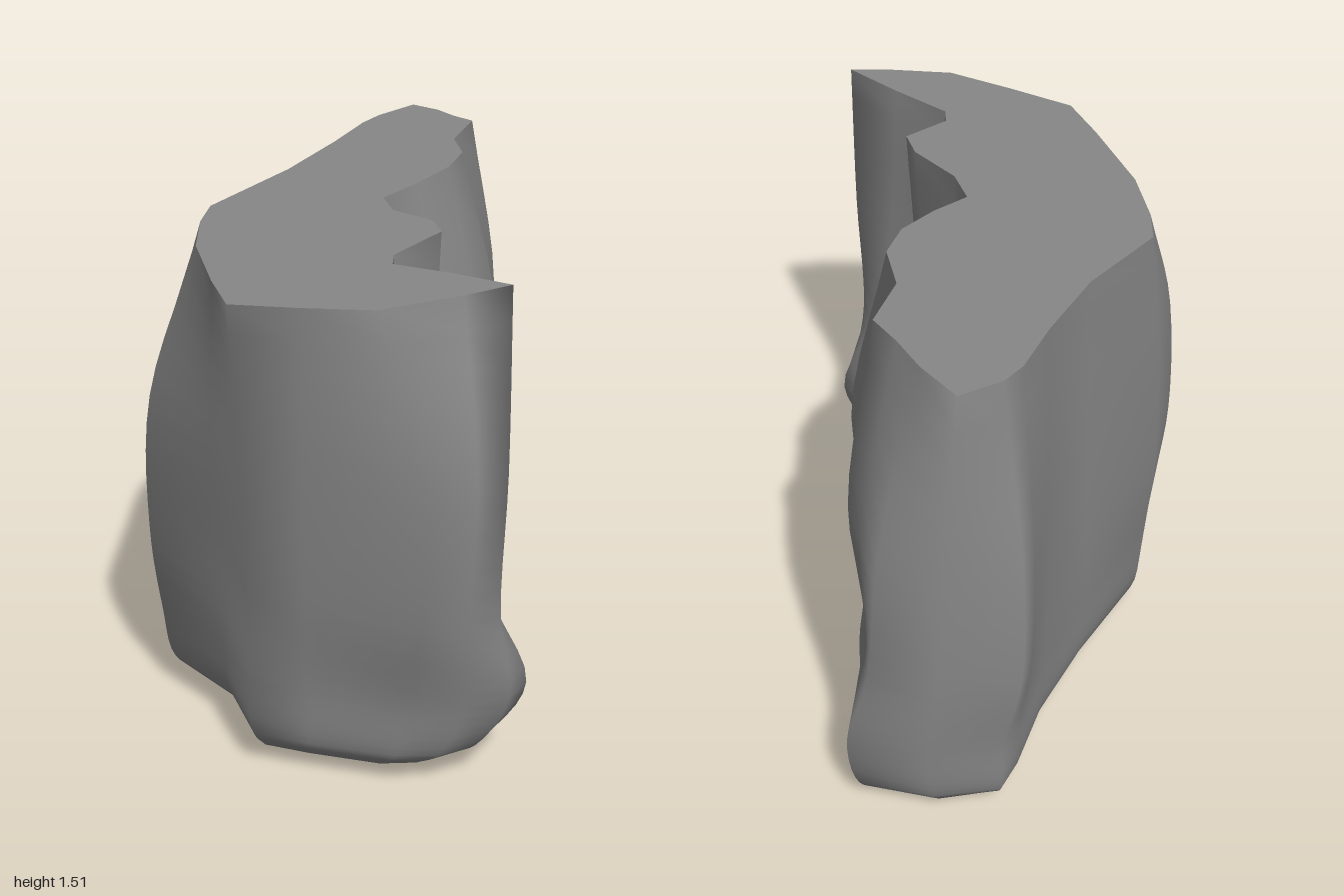
import * as THREE from 'three';

// Outlines of the rock as [x, z] pairs, from the back end round by +x to the front
const TOP = [[-.04, -.98], [.06, -.88], [.13, -.78], [.2, -.7], [.17, -.5], [.22, -.34], [.2, -.2],
  [.13, -.06], [.05, .06], [.1, .18], [.23, .3], [.27, .4], [.17, .56], [.18, .63], [.35, .73],
  [.51, .84], [.4, .89], [.2, .95], [0, .9], [-.2, .84], [-.29, .66], [-.42, .36], [-.47, .14],
  [-.48, 0], [-.32, -.32], [-.23, -.6], [-.18, -.8], [-.14, -.88]];
const MIDDLE = [[0, -.99], [.17, -.97], [.23, -.87], [.28, -.75], [.29, -.52], [.335, -.36], [.3, -.19],
  [.21, 0], [.09, .14], [.13, .23], [.22, .33], [.26, .42], [.24, .56], [.27, .63], [.38, .74],
  [.515, .85], [.45, .93], [.33, 1], [0, .91], [-.18, .84], [-.31, .65], [-.53, .49], [-.55, .32],
  [-.52, 0], [-.33, -.35], [-.24, -.6], [-.22, -.86], [-.2, -.96]];
const WAIST = [[.02, -1], [.21, -.975], [.23, -.86], [.25, -.74], [.26, -.58], [.28, -.38], [.27, -.18],
  [.24, .01], [.15, .23], [.19, .3], [.27, .37], [.33, .46], [.37, .57], [.41, .63], [.46, .72],
  [.505, .84], [.43, .91], [.32, .965], [0, .9], [-.17, .845], [-.3, .64], [-.55, .49], [-.57, .32],
  [-.53, 0], [-.34, -.35], [-.24, -.6], [-.22, -.86], [-.2, -.96]];
const LOW = [[.05, -.99], [.28, -.96], [.28, -.84], [.28, -.73], [.31, -.55], [.32, -.38], [.31, -.18],
  [.28, .02], [.21, .31], [.26, .36], [.36, .41], [.42, .48], [.46, .57], [.5, .63], [.565, .7],
  [.53, .79], [.42, .86], [.26, .885], [0, .87], [-.17, .85], [-.3, .64], [-.53, .47], [-.54, .3],
  [-.51, 0], [-.35, -.32], [-.24, -.6], [-.19, -.83], [-.15, -.94]];
const LEVELS = [[MIDDLE, 0.95], [WAIST, 0.55], [LOW, 0.28]];

const topHeight = (x, z) => 1.431 + 0.13 * x - 0.071 * z;
const footHeight = (z) => 0.06 * THREE.MathUtils.smoothstep(z, 0, 0.4) + (z < 0 ? 0.04 * z * z : 0);

// Centre line of the bent plan, used to draw the underside inwards
const spine = (z) => -0.11 + 0.17 * z * z;
const drawIn = ([x, z], kx, kz, y) => new THREE.Vector3(spine(z * kz) + (x - spine(z)) * kx, y, z * kz);

// Triangulates a ring of points; up = true faces +y
function capIndices(ring, up) {
  const flat = ring.map((p) => new THREE.Vector2(p.x, -p.z));
  return THREE.ShapeUtils.triangulateShape(flat, []).flatMap(([a, b, c]) => {
    const turn = flat[b].clone().sub(flat[a]).cross(flat[c].clone().sub(flat[a]));
    return (turn > 0) === up ? [a, b, c] : [a, c, b];
  });
}

function makeGeometry(points, index) {
  const g = new THREE.BufferGeometry().setFromPoints(points);
  g.setIndex(index);
  g.computeVertexNormals();
  return g;
}

export function createModel() {
  const group = new THREE.Group();
  group.name = 'rock';
  const material = new THREE.MeshStandardMaterial({ color: 0x888888 });
  const n = TOP.length, rows = 25;

  // One vertical curve per outline point, from the top rim to the underside;
  // the overhang at the front of the +x side is undercut most
  const ribs = TOP.map(([x, z], i) => {
    const low = LOW[i], foot = footHeight(low[1]);
    const undercut = low[0] > 0.3 && low[1] > 0.35;
    return new THREE.CatmullRomCurve3([
      new THREE.Vector3(x, topHeight(x, z), z),
      ...LEVELS.map(([ring, y]) => new THREE.Vector3(ring[i][0], y, ring[i][1])),
      drawIn(low, undercut ? 0.84 : 0.93, 0.975, foot + 0.05),
      drawIn(low, undercut ? 0.7 : 0.76, 0.94, foot),
    ]).getPoints(rows);
  });

  // Weathered sides and underside
  const points = [], index = [];
  for (let r = 0; r <= rows; r++) ribs.forEach((rib) => points.push(rib[r]));
  for (let r = 0; r < rows; r++) {
    for (let i = 0; i < n; i++) {
      const a = r * n + i, b = r * n + (i + 1) % n;
      index.push(a, b, a + n, b, b + n, a + n);
    }
  }
  const bottom = ribs.map((rib) => rib[rows]);
  index.push(...capIndices(bottom, false).map((k) => k + rows * n));
  const sides = new THREE.Mesh(makeGeometry(points, index), material);
  sides.name = 'rockSides';

  // Flat sloping top with a sharp rim
  const rim = ribs.map((rib) => rib[0]);
  const top = new THREE.Mesh(makeGeometry(rim, capIndices(rim, true)), material);
  top.name = 'rockTop';

  group.add(sides, top);
  return group;
}
